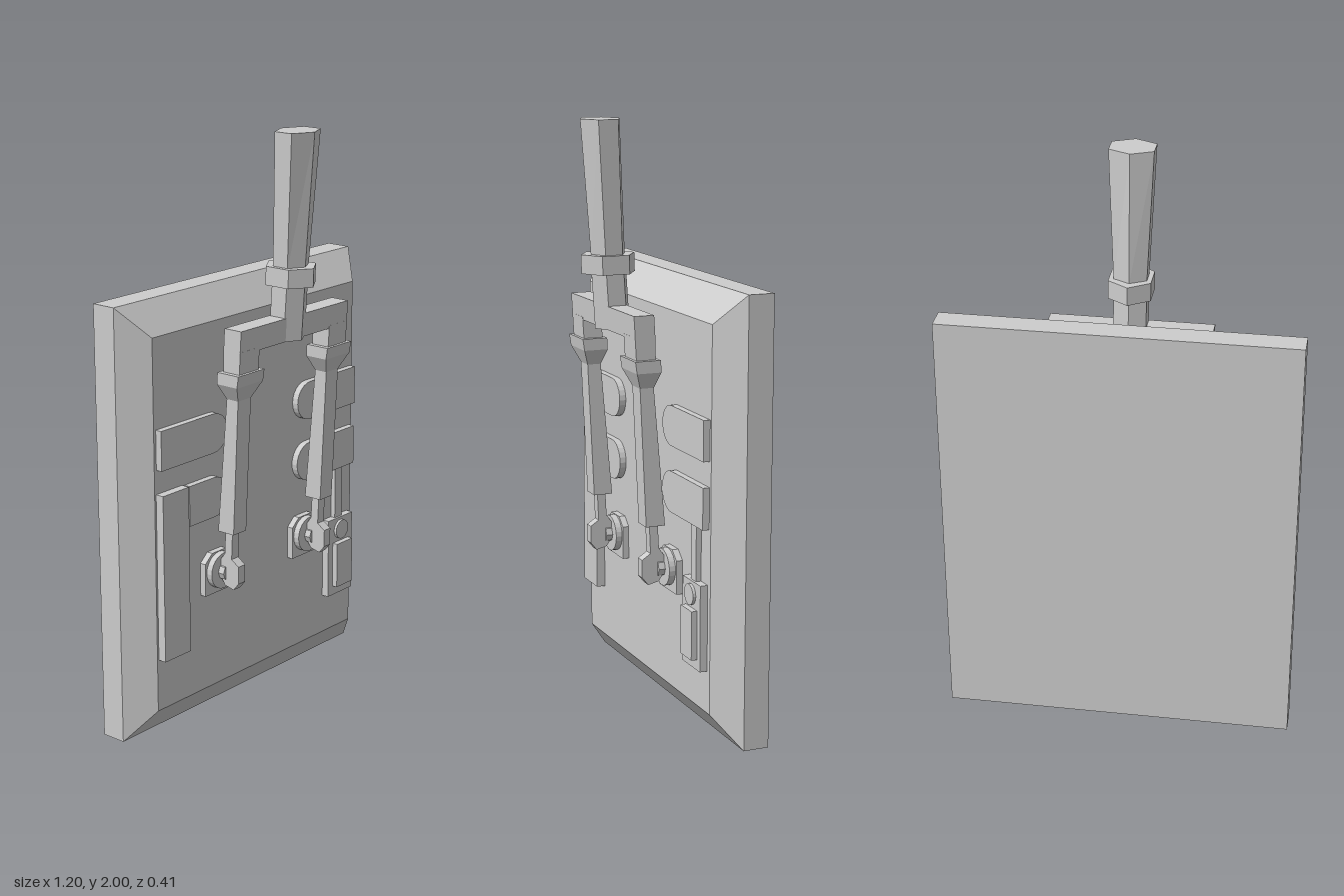
import * as THREE from 'three';

const metal = new THREE.MeshStandardMaterial({ color: 0xcccccc, flatShading: true });
metal.name = 'plainGrey';

// Closed solid through rings of [x, y, z]; rings run counterclockwise seen from the last ring
function loft(rings) {
  const pos = [], n = rings[0].length;
  const tri = (a, b, c) => pos.push(...a, ...b, ...c);
  for (let k = 0; k < rings.length - 1; k++) {
    for (let i = 0; i < n; i++) {
      const j = (i + 1) % n, a = rings[k], b = rings[k + 1];
      tri(a[i], a[j], b[j]);
      tri(a[i], b[j], b[i]);
    }
  }
  const first = rings[0], last = rings[rings.length - 1];
  for (let i = 1; i < n - 1; i++) {
    tri(first[0], first[i + 1], first[i]);
    tri(last[0], last[i], last[i + 1]);
  }
  const g = new THREE.BufferGeometry();
  g.setAttribute('position', new THREE.Float32BufferAttribute(pos, 3));
  g.computeVertexNormals();
  return g;
}

// Horizontal rectangle ring
const rectRing = (y, hw, z0, z1, x = 0) =>
  [[x + hw, y, z1], [x + hw, y, z0], [x - hw, y, z0], [x - hw, y, z1]];

// Horizontal hexagon ring with corners pointing to the front and back
const hexRing = (y, hw, zc, rz) => Array.from({ length: 6 }, (_, i) => {
  const t = Math.PI / 2 + i * Math.PI / 3;
  return [hw * Math.cos(t) / Math.cos(Math.PI / 6), y, zc - rz * Math.sin(t)];
});

// Upright rectangle ring facing the front
const faceRing = (z, hw, y0, y1) => [[-hw, y0, z], [hw, y0, z], [hw, y1, z], [-hw, y1, z]];

function extrude(points, depth) {
  const shape = new THREE.Shape(points.map(p => new THREE.Vector2(...p)));
  return new THREE.ExtrudeGeometry(shape, { depth, bevelEnabled: false });
}

function box(x0, x1, y0, y1, z0, z1) {
  return new THREE.BoxGeometry(x1 - x0, y1 - y0, z1 - z0)
    .translate((x0 + x1) / 2, (y0 + y1) / 2, (z0 + z1) / 2);
}

const disc = (x, y, z0, z1, r, sides) =>
  new THREE.CylinderGeometry(r, r, z1 - z0, sides).rotateX(Math.PI / 2).translate(x, y, (z0 + z1) / 2);

// Flat contact with a round inner end; side is -1 or 1
function contact(side, outer, y0, y1) {
  const r = (y1 - y0) / 2, yc = (y0 + y1) / 2, pts = [[outer, y0]];
  for (let i = 0; i <= 12; i++) {
    const t = -Math.PI / 2 + i * Math.PI / 12;
    pts.push([-0.252 + r * Math.cos(t), yc + r * Math.sin(t)]);
  }
  pts.push([outer, y1]);
  const shaped = side < 0 ? pts : pts.map(([x, y]) => [-x, y]);
  return extrude(shaped, 0.026).translate(0, 0, -0.035);
}

export function createModel() {
  const group = new THREE.Group();
  const add = (name, geometry) => {
    const mesh = new THREE.Mesh(geometry, metal);
    mesh.name = name;
    group.add(mesh);
    return mesh;
  };

  // Back panel with bevelled front rim
  add('backPanel', loft([
    faceRing(-0.205, 0.6, 0, 1.49),
    faceRing(-0.117, 0.6, 0, 1.49),
    faceRing(-0.032, 0.517, 0.108, 1.39),
  ]));

  // Handle: grip, collar and shaft, leaning forward
  add('grip', loft([hexRing(1.55, 0.055, 0.108, 0.06), hexRing(2, 0.074, 0.135, 0.069)]));
  add('collar', loft([hexRing(1.495, 0.071, 0.107, 0.095), hexRing(1.558, 0.071, 0.109, 0.095)]));
  add('shaft', loft([hexRing(1.31, 0.055, 0.0925, 0.062), hexRing(1.5, 0.055, 0.105, 0.062)]));

  // Crossbar joining both arms
  add('crossbar', loft([rectRing(1.31, 0.278, 0.057, 0.127), rectRing(1.39, 0.278, 0.062, 0.132)]));

  for (const side of [-1, 1]) {
    const label = side > 0 ? 'left' : 'right', x = side * 0.23;

    // Arm with flared socket
    add(label + 'BarEnd', loft([rectRing(1.22, 0.048, 0.055, 0.122, x), rectRing(1.32, 0.048, 0.058, 0.128, x)]));
    add(label + 'Arm', loft([
      rectRing(0.685, 0.032, 0.015, 0.082, x),
      rectRing(1.15, 0.032, 0.056, 0.104, x),
      rectRing(1.205, 0.065, 0.043, 0.128, x),
      rectRing(1.245, 0.065, 0.045, 0.134, x),
    ]));

    // Narrow blade ending in a pivot knuckle
    add(label + 'Knuckle', extrude([
      [0.065, 0.7], [0.06, 0.59], [0.09, 0.57], [0.09, 0.51], [0.068, 0.483],
      [0.03, 0.492], [0.012, 0.52], [0.012, 0.58], [0.03, 0.605], [0.035, 0.7],
    ], 0.034).translate(0, 0, -0.017).rotateY(-Math.PI / 2).translate(x, 0, 0));

    // Pivot mount
    add(label + 'PivotPlate', extrude([
      [-0.07, 0.455], [0.07, 0.455], [0.07, 0.57], [0.035, 0.6], [-0.035, 0.6], [-0.07, 0.57],
    ], 0.025).translate(x, 0, -0.035));
    add(label + 'PivotDisc', disc(x, 0.535, -0.015, 0.012, 0.063, 24));
    add(label + 'PivotSpindle', disc(x, 0.535, 0, 0.035, 0.03, 8));

    // Upper and lower contacts
    add(label + 'UpperContact', contact(side, -0.507, 0.95, 1.085));
    add(label + 'LowerContact', contact(side, side < 0 ? -0.375 : -0.505, 0.726, 0.865));
  }

  // Long bar on one side
  add('terminalBar', box(-0.51, -0.386, 0.29, 0.868, -0.035, -0.002));

  // Fuse block on the other side
  add('fuseStrip', box(0.406, 0.446, 0.53, 0.73, -0.035, -0.014));
  add('fuseBase', box(0.36, 0.497, 0.25, 0.54, -0.035, -0.006));
  add('fuseBody', box(0.386, 0.474, 0.285, 0.45, -0.01, 0.014));
  add('fuseButton', disc(0.428, 0.495, -0.01, 0.004, 0.035, 20));

  return group;
}
